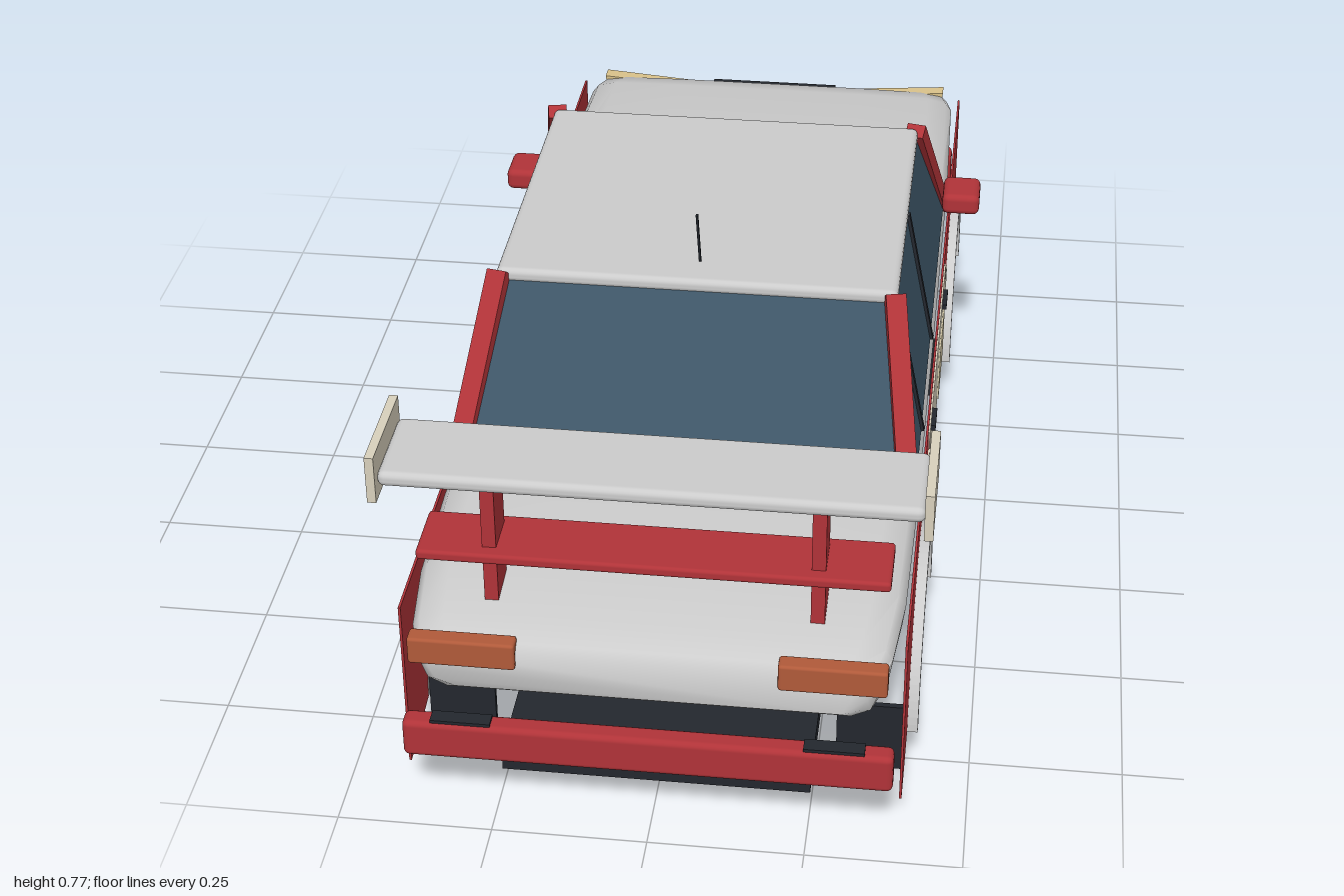
import * as THREE from 'three';
import { toCreasedNormals } from 'three/addons/utils/BufferGeometryUtils.js';
import { RoundedBoxGeometry } from 'three/addons/geometries/RoundedBoxGeometry.js';

const mat = (color) => new THREE.MeshStandardMaterial({ color, side: THREE.DoubleSide });
const white = mat(0xcccccc), red = mat(0xb03338), glass = mat(0x3d5566), black = mat(0x23272e);
const cream = mat(0xd8d0bc), plateCream = mat(0xcfc4a4), orange = mat(0xb05a3a), yellow = mat(0xd9c28a);

export function createModel() {
  const car = new THREE.Group();
  car.name = 'rallyCar';

  const add = (name, geometry, material, x = 0, y = 0, z = 0) => {
    const mesh = new THREE.Mesh(geometry, material);
    mesh.name = name;
    mesh.position.set(x, y, z);
    car.add(mesh);
    return mesh;
  };
  // Box given by its limits, with optional rounded edges
  const box = (name, material, [x0, x1], [y0, y1], [z0, z1], r = 0) => {
    const size = [x1 - x0, y1 - y0, z1 - z0];
    const g = r ? new RoundedBoxGeometry(...size, 2, r) : new THREE.BoxGeometry(...size);
    return add(name, g, material, (x0 + x1) / 2, (y0 + y1) / 2, (z0 + z1) / 2);
  };
  const pair = (name, material, [x0, x1], y, z, r) => {
    box(name + 'Left', material, [x0, x1], y, z, r);
    box(name + 'Right', material, [-x1, -x0], y, z, r);
  };
  // Box section running from one point to another
  const beam = (name, material, a, b, w, h) => {
    const from = new THREE.Vector3(...a), to = new THREE.Vector3(...b);
    const mesh = add(name, new THREE.BoxGeometry(w, h, from.distanceTo(to)), material);
    mesh.position.copy(from).lerp(to, 0.5);
    mesh.lookAt(to);
  };
  // Profile drawn in (z, y), extruded inward from x = outer on both flanks
  const flank = (name, material, shape, outer, depth) => {
    const g = new THREE.ExtrudeGeometry(shape, { depth, bevelEnabled: false, curveSegments: 24 });
    g.rotateY(-Math.PI / 2);
    add(name + 'Left', g, material, outer);
    add(name + 'Right', g, material, depth - outer);
  };
  const polygon = (points) => new THREE.Shape(points.map(([a, b]) => new THREE.Vector2(a, b)));

  // Upper body shell: rounded sections [z, half width, bottom, top]
  add('bodyShell', loft([
    [-0.982, 0.345, 0.295, 0.345], [-0.965, 0.368, 0.28, 0.36], [-0.91, 0.38, 0.268, 0.374],
    [-0.55, 0.388, 0.257, 0.392], [0, 0.39, 0.255, 0.394], [0.6, 0.39, 0.255, 0.392],
    [0.8, 0.387, 0.255, 0.384], [0.92, 0.375, 0.256, 0.368], [0.965, 0.36, 0.26, 0.352],
    [0.976, 0.345, 0.27, 0.34],
  ].map(([z, w, b, t]) => {
    const h = t - b;
    const half = [[w - 0.045, b], [w - 0.015, b + h * 0.16], [w - 0.005, b + h * 0.45],
      [w, b + h * 0.75], [w - 0.012, b + h * 0.9], [w - 0.05, t - 0.002], [w * 0.5, t]];
    const mirrored = half.map(([x, y]) => [-x, y]).reverse();
    return [...half, ...mirrored].map(([x, y]) => [x, y, z]);
  })), white);

  // Side panels with wheel cutouts
  const panel = new THREE.Shape();
  panel.moveTo(-0.915, 0.06);
  panel.lineTo(-0.768, 0.06);
  panel.lineTo(-0.764, 0.085);
  panel.absarc(-0.559, 0.085, 0.205, Math.PI, 0, true);
  panel.lineTo(-0.34, 0.1);
  panel.lineTo(0.345, 0.065);
  panel.lineTo(0.359, 0.085);
  panel.absarc(0.564, 0.085, 0.205, Math.PI, 0, true);
  panel.lineTo(0.92, 0.062);
  panel.lineTo(0.92, 0.37);
  panel.lineTo(-0.915, 0.37);
  flank('sidePanel', red, panel, 0.397, 0.004);

  // Wheel arch flares and mud flaps
  for (const [end, z] of [['front', -0.559], ['rear', 0.564]]) {
    const arch = new THREE.Shape();
    arch.absarc(z, 0.085, 0.22, 0, Math.PI, false);
    arch.absarc(z, 0.085, 0.198, Math.PI, 0, true);
    flank(end + 'ArchFlare', white, arch, 0.414, 0.022);
    pair(end + 'MudFlap', black, [0.282, 0.392], [0, 0.128], [z + 0.204, z + 0.214]);
  }

  // Side stripes, blank number plates and door handles
  flank('sideStripe', cream, polygon([
    [0.33, 0.365], [-0.245, 0.365], [-0.275, 0.305], [-0.34, 0.305], [-0.34, 0.268], [-0.29, 0.268],
    [-0.318, 0.175], [0.2, 0.175], [0.265, 0.265], [0.39, 0.265], [0.39, 0.305], [0.29, 0.305],
  ]), 0.4, 0.003);
  flank('numberPlate', plateCream,
    polygon([[-0.025, 0.203], [-0.025, 0.305], [-0.19, 0.305], [-0.19, 0.203]]), 0.403, 0.003);
  for (const z of [0.272, -0.13])
    pair('doorHandle', black, [0.396, 0.408], [0.35, 0.36], [z - 0.028, z + 0.028]);

  // Cabin glass, tapering to the roof
  const cabin = new THREE.BoxGeometry(1, 1, 1);
  const p = cabin.attributes.position;
  for (let i = 0; i < p.count; i++) {
    const top = p.getY(i) > 0, back = p.getZ(i) > 0;
    p.setXYZ(i, Math.sign(p.getX(i)) * (top ? 0.333 : 0.385), top ? 0.642 : 0.385,
      back ? (top ? 0.35 : 0.575) : (top ? -0.23 : -0.435));
  }
  cabin.computeVertexNormals();
  add('cabinGlass', cabin, glass);
  box('roof', white, [-0.337, 0.337], [0.63, 0.656], [-0.235, 0.358], 0.011);

  // Corner pillars and window dividers
  for (const s of [-1, 1]) {
    beam('rearPillar', red, [s * 0.376, 0.385, 0.573], [s * 0.332, 0.65, 0.355], 0.034, 0.026);
    beam('frontPillar', red, [s * 0.376, 0.385, -0.435], [s * 0.332, 0.65, -0.232], 0.034, 0.026);
    for (const z of [0.055, 0.35])
      beam('windowDivider', black, [s * 0.385, 0.385, z], [s * 0.335, 0.635, z], 0.014, 0.01);
  }
  box('cowlStrip', black, [-0.335, 0.335], [0.388, 0.406], [-0.437, -0.415]);
  pair('mirror', red, [0.385, 0.455], [0.422, 0.463], [-0.415, -0.33], 0.012);

  // Bonnet vents with slats
  pair('bonnetVent', black, [0.075, 0.215], [0.38, 0.402], [-0.565, -0.44]);
  for (let i = 0; i < 4; i++) {
    const z = -0.545 + i * 0.029;
    pair('ventSlat', red, [0.078, 0.212], [0.4, 0.408], [z - 0.005, z + 0.005]);
  }

  // Rear wing
  box('wingBlade', white, [-0.414, 0.414], [0.6, 0.626], [0.767, 0.925], 0.011);
  pair('wingEndPlate', cream, [0.413, 0.427], [0.58, 0.661], [0.763, 0.937]);
  pair('wingPost', red, [0.244, 0.266], [0.37, 0.605], [0.815, 0.885]);
  box('wingLowerBlade', red, [-0.367, 0.367], [0.455, 0.473], [0.797, 0.907], 0.006);

  // Tail
  pair('tailLight', orange, [0.203, 0.371], [0.314, 0.362], [0.955, 0.985], 0.005);
  box('rearBumper', red, [-0.385, 0.385], [0.14, 0.208], [0.963, 1], 0.01);
  pair('bumperPad', black, [0.245, 0.34], [0.205, 0.212], [0.97, 0.995]);

  // Nose: bumper, grilles, headlights and round spot lamps
  box('frontBumper', red, [-0.385, 0.385], [0.15, 0.229], [-0.982, -0.92], 0.012);
  box('bumperGrille', black, [-0.217, 0.217], [0.17, 0.242], [-0.992, -0.94]);
  box('noseGrille', black, [-0.13, 0.13], [0.295, 0.352], [-0.99, -0.95]);
  for (const s of [-1, 1]) {
    const lens = polygon([[0.14, 0.345], [0.36, 0.362], [0.355, 0.312], [0.19, 0.316]]
      .map(([x, y]) => [s * x, y]));
    add('headlight', new THREE.ExtrudeGeometry(lens, { depth: 0.03, bevelEnabled: false }), yellow, 0, 0, -0.988);
    const lamp = new THREE.CylinderGeometry(0.039, 0.039, 0.03, 24).rotateX(Math.PI / 2);
    add('spotLamp', lamp, yellow, s * 0.287, 0.21, -0.985);
  }

  // Floor, seat bases and aerial
  box('floor', black, [-0.25, 0.25], [0.037, 0.075], [-0.89, 0.895]);
  pair('seatBase', black, [0.065, 0.21], [0.243, 0.3], [-0.06, 0.1]);
  beam('aerial', black, [0, 0.65, 0.29], [0, 0.767, 0.332], 0.004, 0.004);
  return car;
}

// Skin over equal-length rings (counterclockwise seen from +z), capped at both ends
function loft(rings) {
  const n = rings[0].length, last = rings.length - 1, index = [];
  const at = (i, j) => i * n + (j % n);
  for (let i = 0; i < last; i++)
    for (let j = 0; j < n; j++)
      index.push(at(i, j), at(i, j + 1), at(i + 1, j + 1), at(i, j), at(i + 1, j + 1), at(i + 1, j));
  for (let j = 1; j < n - 1; j++)
    index.push(at(0, 0), at(0, j + 1), at(0, j), at(last, 0), at(last, j), at(last, j + 1));
  const g = new THREE.BufferGeometry();
  g.setAttribute('position', new THREE.Float32BufferAttribute(rings.flat(2), 3));
  g.setIndex(index);
  return toCreasedNormals(g, 0.8);
}
